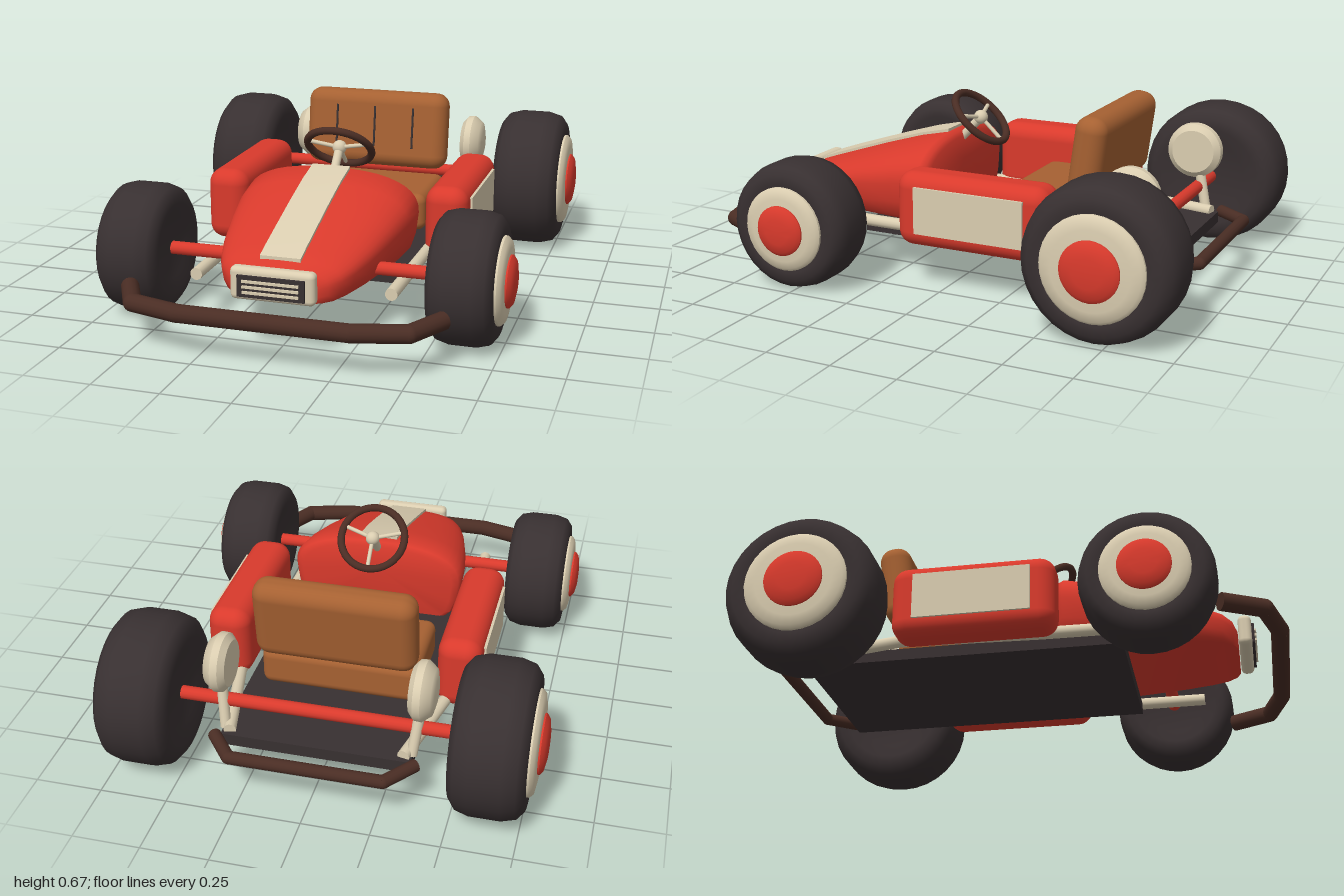
import * as THREE from 'three';
import { toCreasedNormals } from 'three/addons/utils/BufferGeometryUtils.js';
import { RoundedBoxGeometry } from 'three/addons/geometries/RoundedBoxGeometry.js';

const mat = (name, color) => Object.assign(new THREE.MeshStandardMaterial({ color }), { name });
const RED = mat('red paint', 0xd93a2c);
const CREAM = mat('cream paint', 0xdacdb0);
const RUBBER = mat('charcoal rubber', 0x383031);
const LEATHER = mat('tan leather', 0xa66132);
const BROWN = mat('dark brown tube', 0x4a2d24);
const V = (x, y, z) => new THREE.Vector3(x, y, z);

function add(parent, name, geo, material, x = 0, y = 0, z = 0) {
  const mesh = new THREE.Mesh(geo, material);
  mesh.name = name;
  mesh.position.set(x, y, z);
  parent.add(mesh);
  return mesh;
}

const roundBox = (w, h, d, r) => new RoundedBoxGeometry(w, h, d, 4, r);

// Straight rods through a list of points, with ball joints at the bends
function rods(parent, name, points, radius, material) {
  const g = new THREE.Group();
  g.name = name;
  for (let i = 0; i < points.length - 1; i++) {
    const a = points[i], d = points[i + 1].clone().sub(a);
    const rod = add(g, name + 'Rod', new THREE.CylinderGeometry(radius, radius, d.length(), 14), material);
    rod.position.copy(a).addScaledVector(d, 0.5);
    rod.quaternion.setFromUnitVectors(V(0, 1, 0), d.normalize());
    if (i) add(g, name + 'Joint', new THREE.SphereGeometry(radius, 14, 10), material, a.x, a.y, a.z);
  }
  parent.add(g);
  return g;
}

// Lathe whose axis runs along x; profile points are [radius, x]
const latheX = (profile, sides = 32) => toCreasedNormals(
  new THREE.LatheGeometry(profile.map(([r, t]) => new THREE.Vector2(r, t)), sides).rotateZ(-Math.PI / 2), 0.7);

// Closed skin over rings that run towards +z, each counter-clockwise from the front
function loft(rings, crease) {
  const n = rings[0].length, pos = [], idx = [];
  rings.forEach((ring) => ring.forEach((p) => pos.push(p.x, p.y, p.z)));
  for (let i = 0; i < rings.length - 1; i++) {
    for (let j = 0; j < n; j++) {
      const k = (j + 1) % n, a = i * n + j, b = i * n + k;
      idx.push(a, b, b + n, a, b + n, a + n);
    }
  }
  [0, rings.length - 1].forEach((i) => {
    const c = rings[i].reduce((s, p) => s.add(p), V(0, 0, 0)).divideScalar(n);
    const ci = pos.length / 3;
    pos.push(c.x, c.y, c.z);
    for (let j = 0; j < n; j++) {
      const a = i * n + j, b = i * n + (j + 1) % n;
      if (i) idx.push(ci, a, b); else idx.push(ci, b, a);
    }
  });
  const geo = new THREE.BufferGeometry();
  geo.setAttribute('position', new THREE.Float32BufferAttribute(pos, 3));
  geo.setIndex(idx);
  return toCreasedNormals(geo, crease);
}

function wheel(name, R, w, rim, hub) {
  const g = new THREE.Group();
  g.name = name;
  add(g, 'tire', latheX([[0, -0.85 * w], [0.5 * R, -0.85 * w], [0.7 * R, -w], [0.84 * R, -0.98 * w], [0.95 * R, -0.8 * w],
    [R, -0.42 * w], [R, 0.42 * w], [0.95 * R, 0.8 * w], [0.84 * R, 0.98 * w], [0.7 * R, w], [0.5 * R, 0.85 * w], [0, 0.85 * w]]), RUBBER);
  add(g, 'rim', latheX([[rim, 0.6 * w], [rim, w + 0.006], [rim - 0.012, w + 0.018], [rim * 0.75, w + 0.024], [0, w + 0.024]]), CREAM);
  add(g, 'hubCap', latheX([[hub, w], [hub, w + 0.03], [hub * 0.85, w + 0.042], [hub * 0.5, w + 0.049], [0, w + 0.05]]), RED);
  return g;
}

// Nose cowl stations: z, half width, top height
const COWL = [[0.143, 0.31, 0.485], [0.153, 0.335, 0.503], [0.175, 0.346, 0.51], [0.3, 0.337, 0.483], [0.45, 0.312, 0.438],
  [0.6, 0.28, 0.389], [0.7, 0.25, 0.356], [0.76, 0.222, 0.335], [0.795, 0.185, 0.312], [0.812, 0.14, 0.28]];

function cowlRing([z, w, top]) {
  const base = 0.195, mid = base + (top - base) * 0.52, ring = [];
  for (let i = 0; i <= 20; i++) {
    const a = (i / 20) * Math.PI, c = Math.cos(a), s = Math.sin(a);
    ring.push(V(w * Math.sign(c) * Math.abs(c) ** 0.82, mid + (top - mid) * s ** 0.82, z));
  }
  const low = [[0.97, 0.5], [0.91, 0.12], [0.85, 0]];
  low.forEach(([k, t]) => ring.push(V(-w * k, base + (mid - base) * t, z)));
  low.reverse().forEach(([k, t]) => ring.push(V(w * k, base + (mid - base) * t, z)));
  return ring;
}

function buildNose(kart) {
  add(kart, 'noseCowl', loft(COWL.map(cowlRing), 0.8), RED);
  // Stripe follows the crown of the cowl
  const crown = [[0.18, 0.51], ...COWL.slice(3, 7).map(([z, , t]) => [z, t]), [0.77, 0.331]];
  add(kart, 'noseStripe', loft(crown.map(([z, t]) => [[1, -0.03], [1, 0.009], [-1, 0.009], [-1, -0.03]]
    .map(([s, dy]) => V(s * 0.075, t + dy, z))), 0.5), CREAM);
  // Grille
  add(kart, 'grilleFrame', roundBox(0.31, 0.12, 0.05, 0.02), CREAM, 0, 0.262, 0.84);
  add(kart, 'grilleOpening', new THREE.BoxGeometry(0.245, 0.078, 0.02), RUBBER, 0, 0.258, 0.865);
  for (const y of [0.238, 0.258, 0.278]) {
    add(kart, 'grilleBar', new THREE.BoxGeometry(0.205, 0.009, 0.012), CREAM, 0, y, 0.876);
  }
}

function buildSeat(kart) {
  add(kart, 'seatCushion', roundBox(0.6, 0.15, 0.37, 0.035), LEATHER, 0, 0.265, -0.285);
  const back = new THREE.Group();
  back.name = 'seatBack';
  back.position.set(0, 0.515, -0.488);
  back.rotation.x = -0.13;
  add(back, 'backCushion', roundBox(0.61, 0.32, 0.125, 0.055), LEATHER);
  for (const x of [-0.165, 0, 0.165]) {
    add(back, 'seatSeam', new THREE.BoxGeometry(0.008, 0.17, 0.008), RUBBER, x, 0.01, 0.062);
  }
  kart.add(back);
}

function buildSteering(kart) {
  const g = new THREE.Group();
  g.name = 'steeringWheel';
  g.position.set(0, 0.563, 0.073);
  // Local +z is the face of the wheel, turned up and back to the driver
  g.rotation.set(-0.82, Math.PI, 0, 'YXZ');
  add(g, 'steeringRing', new THREE.TorusGeometry(0.127, 0.015, 10, 36), BROWN);
  for (const a of [0.3, Math.PI - 0.3, -Math.PI / 2]) {
    rods(g, 'spoke', [V(0, 0, 0), V(Math.cos(a) * 0.122, Math.sin(a) * 0.122, 0)], 0.008, CREAM);
  }
  add(g, 'steeringHub', new THREE.SphereGeometry(0.028, 18, 12), CREAM);
  rods(g, 'steeringColumn', [V(0, 0, 0), V(0, 0, -0.18)], 0.017, CREAM);
  kart.add(g);
}

export function createModel() {
  const kart = new THREE.Group();
  kart.name = 'kart';

  add(kart, 'floorPan', new THREE.BoxGeometry(0.7, 0.045, 1.21), RUBBER, 0, 0.17, -0.205);
  buildNose(kart);
  buildSeat(kart);
  buildSteering(kart);

  // Axles
  rods(kart, 'frontAxle', [V(-0.6, 0.245, 0.52), V(0.6, 0.245, 0.52)], 0.025, RED);
  rods(kart, 'rearAxle', [V(-0.6, 0.285, -0.72), V(0.6, 0.285, -0.72)], 0.025, RED);

  // Bumpers
  const mirrorPath = (pts, y) => [...pts.map(([x, z]) => V(-x, y, z)), ...pts.reverse().map(([x, z]) => V(x, y, z))];
  rods(kart, 'frontBumper', mirrorPath([[0.58, 0.765], [0.5, 0.915], [0.31, 0.966]], 0.17), 0.033, BROWN);
  rods(kart, 'rearBumper', mirrorPath([[0.37, -0.815], [0.28, -0.93]], 0.19), 0.024, BROWN);

  for (const s of [1, -1]) {
    const side = s > 0 ? 'left' : 'right';
    const turn = s > 0 ? 0 : Math.PI;

    // Wheels
    const front = wheel(side + 'FrontWheel', 0.242, 0.117, 0.16, 0.095);
    front.position.set(s * 0.618, 0.245, 0.522);
    const rear = wheel(side + 'RearWheel', 0.285, 0.134, 0.19, 0.108);
    rear.position.set(s * 0.634, 0.288, -0.715);
    front.rotation.y = rear.rotation.y = turn;
    kart.add(front, rear);

    // Side pods with pale panels
    add(kart, side + 'SidePod', roundBox(0.165, 0.285, 0.615, 0.06), RED, s * 0.443, 0.312, -0.133);
    add(kart, side + 'PodPanel', new THREE.BoxGeometry(0.02, 0.178, 0.44), CREAM, s * 0.524, 0.318, -0.133);

    // Frame rails
    rods(kart, side + 'FrameRail', [V(s * 0.32, 0.2, -0.79), V(s * 0.4, 0.2, -0.42), V(s * 0.375, 0.2, 0.1), V(s * 0.368, 0.2, 0.655)], 0.023, CREAM);

    // Rear drums
    const drum = add(kart, side + 'RearDrum', latheX([[0, -0.042], [0.085, -0.042], [0.108, -0.022], [0.11, 0.005], [0.085, 0.037], [0.05, 0.046], [0, 0.047]]), CREAM,
      s * 0.372, 0.43, -0.7);
    drum.rotation.y = turn;
    rods(kart, side + 'DrumPost', [V(s * 0.345, 0.19, -0.76), V(s * 0.37, 0.4, -0.71)], 0.02, CREAM);
  }
  return kart;
}
